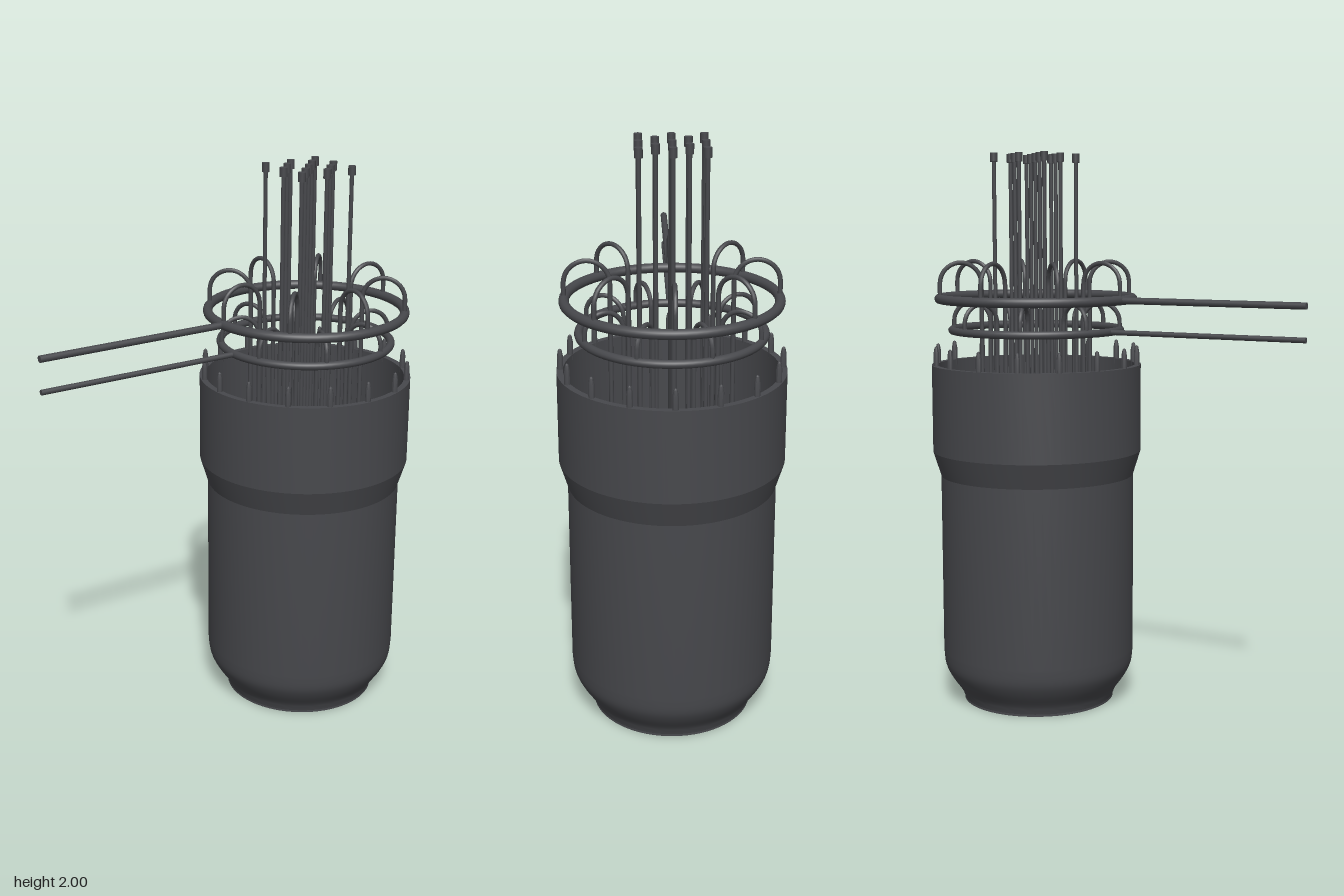
import * as THREE from 'three';
import { toCreasedNormals } from 'three/addons/utils/BufferGeometryUtils.js';

const CX = 0.335; // vessel axis

export function createModel() {
  const model = new THREE.Group();
  model.name = 'reactorVessel';
  const material = new THREE.MeshStandardMaterial({ color: 0x47484c });

  const add = (name, geometry, parent, x = 0, y = 0, z = 0) => {
    const mesh = new THREE.Mesh(geometry, material);
    mesh.name = name;
    mesh.position.set(x, y, z);
    parent.add(mesh);
    return mesh;
  };
  const v2 = (x, y) => new THREE.Vector2(x, y);

  const core = new THREE.Group();
  core.name = 'core';
  core.position.x = CX;
  model.add(core);

  // Hollow vessel: rounded base, straight body, flared collar, inner wall
  const base = new THREE.SplineCurve([
    v2(0.277, 0.008), v2(0.29, 0.04), v2(0.325, 0.09), v2(0.346, 0.135), v2(0.352, 0.19),
  ]).getPoints(16);
  const profile = [
    v2(0, 0), v2(0.277, 0), ...base,
    v2(0.352, 0.84), v2(0.38, 0.93), v2(0.38, 1.245),
    v2(0.358, 1.245), v2(0.358, 0.93), v2(0.33, 0.84), v2(0.33, 0.19),
    v2(0.3, 0.09), v2(0.265, 0.03), v2(0, 0.03),
  ];
  add('vessel', toCreasedNormals(new THREE.LatheGeometry(profile, 72), 0.25), core);

  // Pointed studs around the rim
  const stud = toCreasedNormals(new THREE.LatheGeometry([
    v2(0, -0.02), v2(0.01, -0.02), v2(0.01, 0.045), v2(0.006, 0.066), v2(0, 0.071),
  ], 12), 0.6);
  for (let i = 0; i < 16; i++) {
    const a = (i * Math.PI) / 8;
    add('rimStud', stud, core, 0.367 * Math.cos(a), 1.245, 0.367 * Math.sin(a));
  }

  // Two ring headers, each with a supply pipe and eight hooked tubes
  const headers = [
    { name: 'upper', y: 1.483, r: 0.35, tube: 0.017, pipe: 0.012, inner: 0.2, bend: 1.538, turn: 0 },
    { name: 'lower', y: 1.37, r: 0.305, tube: 0.014, pipe: 0.0095, inner: 0.17, bend: 1.4, turn: Math.PI / 8 },
  ];
  for (const h of headers) {
    const ring = add(h.name + 'Ring', new THREE.TorusGeometry(h.r, h.tube, 12, 72), core, 0, h.y, 0);
    ring.rotation.x = Math.PI / 2;

    const length = CX - h.r + 0.72;
    const pipe = add(h.name + 'Pipe', new THREE.CylinderGeometry(h.pipe, h.pipe, length, 16),
      model, -0.72 + length / 2, h.y, 0);
    pipe.rotation.z = Math.PI / 2;

    // Path: up from the ring, over a half circle, down into the vessel
    const mid = (h.r + h.inner) / 2, bendR = (h.r - h.inner) / 2;
    const arc = [];
    for (let i = 0; i <= 16; i++) {
      const a = (i * Math.PI) / 16;
      arc.push(new THREE.Vector3(mid + bendR * Math.cos(a), h.bend + bendR * Math.sin(a), 0));
    }
    const path = new THREE.CurvePath();
    const points = [new THREE.Vector3(h.r, h.y, 0), ...arc, new THREE.Vector3(h.inner, 0.35, 0)];
    for (let i = 1; i < points.length; i++) path.add(new THREE.LineCurve3(points[i - 1], points[i]));
    const hook = new THREE.TubeGeometry(path, 120, 0.008, 8);
    for (let i = 0; i < 8; i++) {
      add(h.name + 'HookedTube', hook, core).rotation.y = h.turn + (i * Math.PI) / 4;
    }
  }

  // Control rods on a staggered 5 x 5 grid, each with a cap
  const rod = new THREE.CylinderGeometry(0.0075, 0.0075, 1.67, 10);
  const cap = new THREE.CylinderGeometry(0.0135, 0.0135, 0.032, 12);
  for (let i = -2; i <= 2; i++) {
    for (let j = -2; j <= 2; j++) {
      if ((i + j) % 2) continue;
      add('controlRod', rod, core, i * 0.053, 1.135, j * 0.053);
      add('controlRodCap', cap, core, i * 0.053, 1.984, j * 0.053);
    }
  }
  return model;
}
